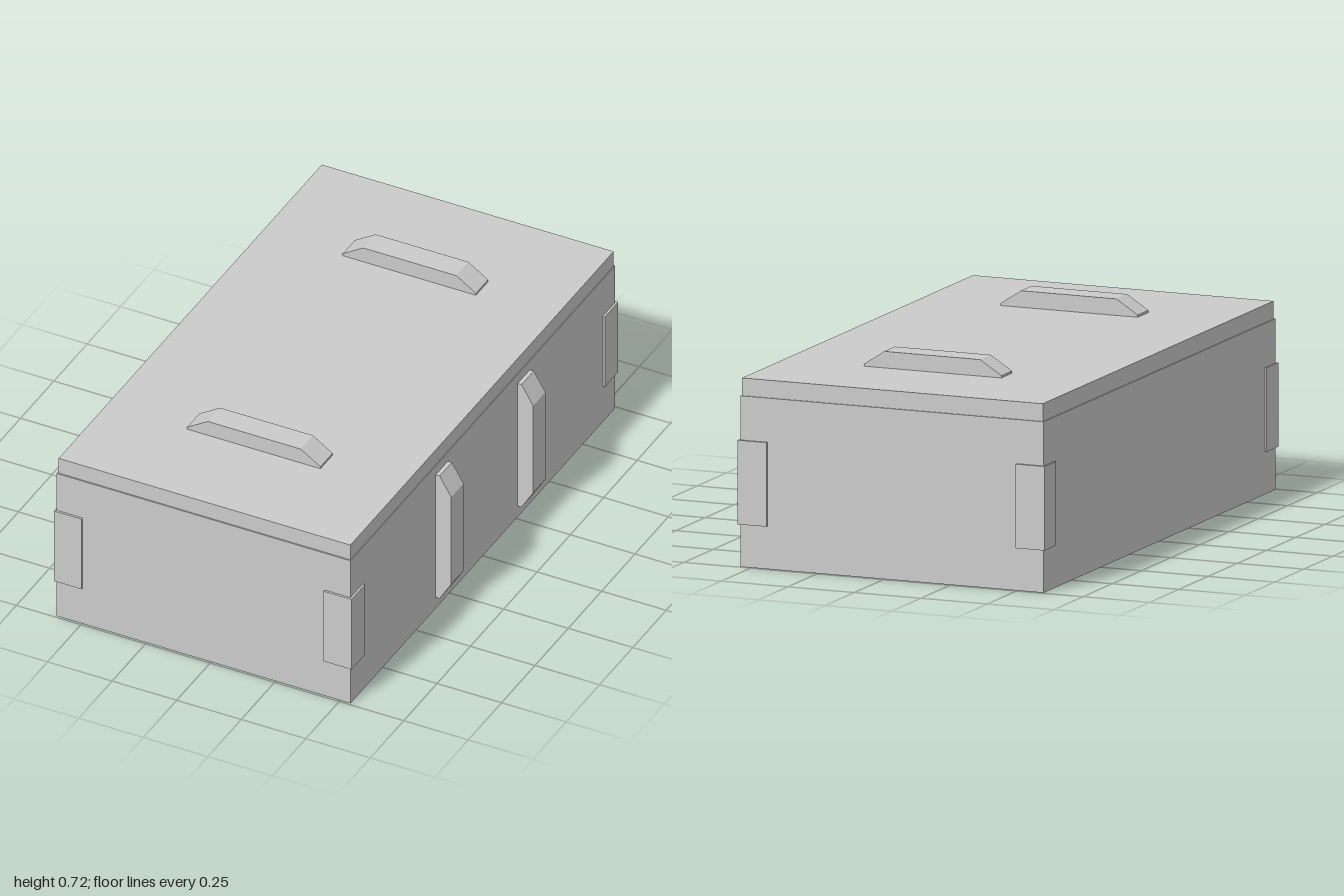
import * as THREE from 'three';

const material = new THREE.MeshStandardMaterial({ color: 0xcccccc, flatShading: true });

// Box given by its minimum and maximum corners
function box(name, [x0, y0, z0], [x1, y1, z1]) {
  const mesh = new THREE.Mesh(new THREE.BoxGeometry(x1 - x0, y1 - y0, z1 - z0), material);
  mesh.name = name;
  mesh.position.set((x0 + x1) / 2, (y0 + y1) / 2, (z0 + z1) / 2);
  return mesh;
}

// Bar with bevelled ends: profile in the xy plane, extruded along z around zMid
function handle(name, profile, zMid) {
  const shape = new THREE.Shape(profile.map(([x, y]) => new THREE.Vector2(x, y)));
  const width = 0.092;
  const geometry = new THREE.ExtrudeGeometry(shape, { depth: width, bevelEnabled: false });
  geometry.translate(0, 0, zMid - width / 2);
  const mesh = new THREE.Mesh(geometry, material);
  mesh.name = name;
  return mesh;
}

export function createModel() {
  const crate = new THREE.Group();
  crate.name = 'crate';

  // Body and slightly inset lid
  crate.add(box('body', [-0.598, 0, -0.992], [0.54, 0.6, 0.992]));
  crate.add(box('lid', [-0.593, 0.6, -0.987], [0.537, 0.662, 0.987]));

  // Thin guards wrapping the four vertical edges
  for (const s of [-1, 1]) {
    const z = [0.9 * s, s].sort((a, b) => a - b);
    crate.add(box('rightCornerGuard', [-0.605, 0.15, z[0]], [-0.497, 0.445, z[1]]));
    crate.add(box('leftCornerGuard', [0.44, 0.15, z[0]], [0.548, 0.445, z[1]]));
  }

  // Two handles on the lid and two on the left side
  const lidProfile = [[-0.28, 0.655], [0.236, 0.655], [0.236, 0.67], [0.16, 0.72], [-0.2, 0.72], [-0.28, 0.67]];
  const sideProfile = [[0.53, 0.046], [0.555, 0.046], [0.6, 0.12], [0.6, 0.487], [0.555, 0.562], [0.53, 0.562]];
  for (const s of [-1, 1]) {
    crate.add(handle('lidHandle', lidProfile, 0.583 * s));
    crate.add(handle('sideHandle', sideProfile, 0.307 * s));
  }
  return crate;
}
